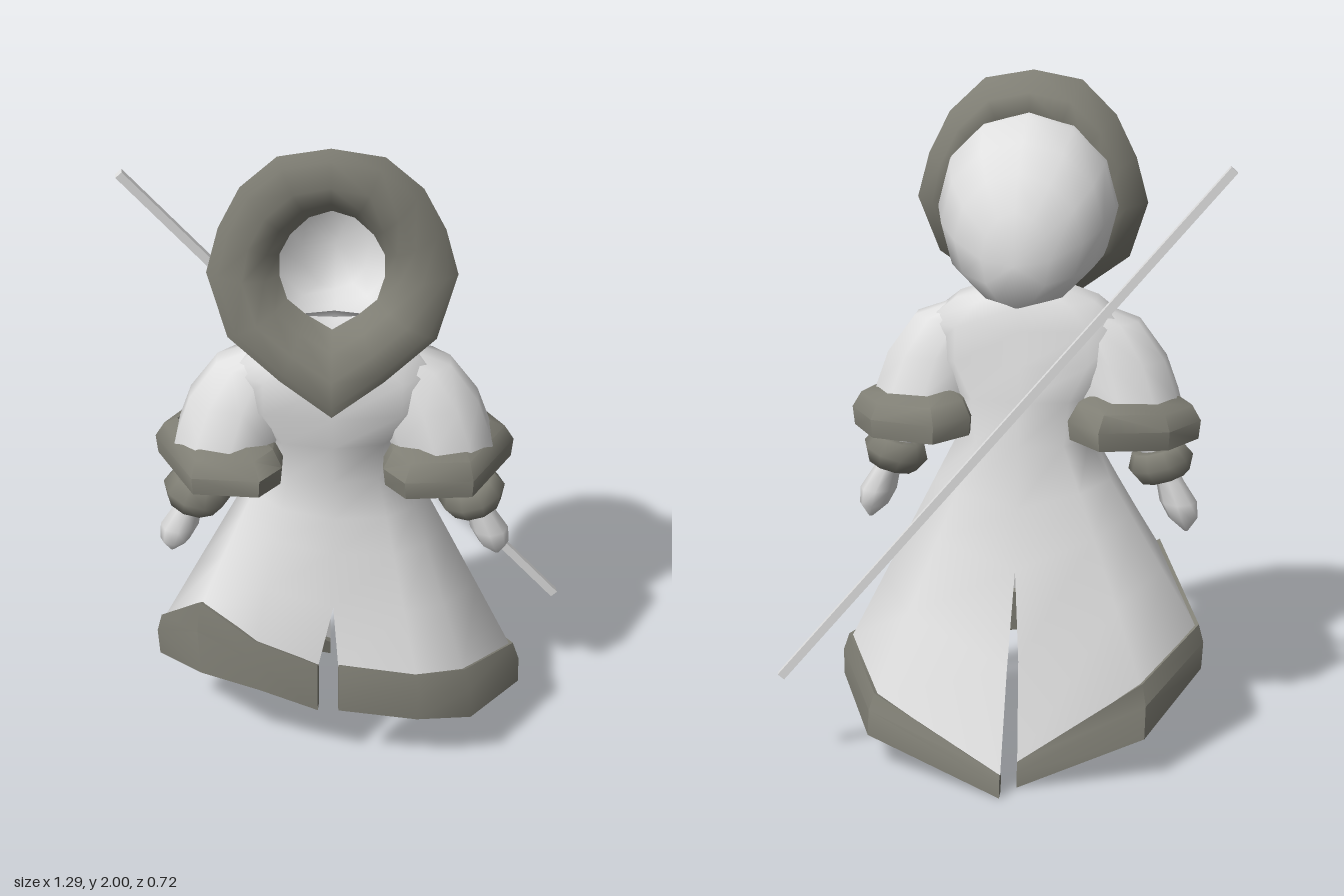
import * as THREE from 'three';
import { mergeGeometries, mergeVertices, toCreasedNormals } from 'three/addons/utils/BufferGeometryUtils.js';

const CX = -0.045; // the figure stands slightly off centre
const mat = (name, color) => new THREE.MeshStandardMaterial({ name, color, side: THREE.DoubleSide });

// Skin rows of [x, y, z] points; closed joins each row's ends, caps closes both ends.
function loft(rows, { closed = true, caps = false, crease = 0 } = {}) {
  const mean = r => r.map(() => [0, 1, 2].map(k => r.reduce((s, p) => s + p[k], 0) / r.length));
  if (caps) rows = [mean(rows[0]), ...rows, mean(rows[rows.length - 1])];
  const n = rows[0].length, index = [];
  for (let i = 0; i < rows.length - 1; i++) {
    for (let j = 0; j < (closed ? n : n - 1); j++) {
      const a = i * n + j, b = i * n + (j + 1) % n;
      index.push(a, b, a + n, b, b + n, a + n);
    }
  }
  let g = new THREE.BufferGeometry();
  g.setAttribute('position', new THREE.Float32BufferAttribute(rows.flat(2), 3));
  g.setIndex(index);
  g = mergeVertices(g, 1e-4);
  if (crease) return toCreasedNormals(g, crease);
  g.computeVertexNormals();
  return g;
}

// Horizontal ellipse of points; a power below 1 squares it off
function ring(x, y, z, rx, rz, n = 10, power = 1) {
  const bend = v => Math.sign(v) * Math.abs(v) ** power;
  return Array.from({ length: n }, (_, i) => {
    const a = i / n * Math.PI * 2;
    return [x + bend(Math.sin(a)) * rx, y, z + bend(Math.cos(a)) * rz];
  });
}

const lerp3 = (a, b, t) => a.map((v, k) => v + (b[k] - v) * t);
const shrink = (p, s, dy = 0) => [CX + (p[0] - CX) * s, p[1] + dy, p[2] * s];

// Hem corners from front centre round the side to back centre
const hems = {
  left: {
    top: [[-.03, .4, .31], [.2, .375, .32], [.34, .36, .27], [.49, .31, .07], [.36, .24, -.2], [-.03, .07, -.34]],
    bottom: [[-.03, .25, .33], [.2, .22, .33], [.36, .2, .29], [.51, .175, .08], [.38, .11, -.21], [-.03, .005, -.355]],
  },
  right: {
    top: [[-.09, .4, .31], [-.27, .49, .32], [-.43, .59, .27], [-.565, .4, .07], [-.42, .3, -.16], [-.07, .08, -.265]],
    bottom: [[-.09, .25, .33], [-.26, .33, .34], [-.43, .36, .3], [-.575, .26, .07], [-.43, .14, -.19], [-.07, .005, -.28]],
  },
};
const frontSeam = [CX, .39, .305], backSeam = [CX, .07, -.3]; // where both halves aim above the slits

export function createModel() {
  const model = new THREE.Group();
  const cloth = mat('pale cloth', 0xe0e0e0);
  const fur = mat('dark fur', 0x7f7e74);
  const add = (name, geo, material, parent = model) => {
    const m = new THREE.Mesh(geo, material);
    m.name = name;
    parent.add(m);
    return m;
  };

  // Upper robe from neck to waist: [y, half width, centre z, half depth]
  const torsoRows = [[1.4, .13, .11, .11], [1.37, .21, .115, .135], [1.3, .3, .115, .15], [1.2, .3, .11, .155],
    [1.1, .22, .09, .16], [.97, .2, .075, .145]].map(([y, rx, z, rz]) => ring(CX, y, z, rx, rz, 10, .85));
  const waistRing = torsoRows[5];

  // Robe halves, parted below by a slit at front and back, each with a fur hem
  const halves = Object.entries(hems).map(([side, { top, bottom }]) => {
    const sections = top.map((p, j) => {
      const b = bottom[j];
      return [p, shrink(lerp3(p, b, .4), 1.02), b, shrink(b, .93, .01), shrink(p, .93, -.01)];
    });
    add(side + 'HemFur', loft(sections, { caps: true, crease: .8 }), fur);

    const column = j => side === 'left' ? j : (10 - j) % 10;
    const upper = torsoRows.map(r => top.map((_, j) => r[column(j)]));
    const skirt = [.2, .39, .68, 1].map(t => top.map((p, j) => {
      let target = shrink(p, .985, -.01);
      if (j === 0 && t < .7) target = frontSeam;
      if (j === 5 && t < .4) target = backSeam;
      const start = waistRing[column(j)], q = lerp3(start, target, t);
      q[2] = start[2] + (target[2] - start[2]) * t ** 1.35;
      return q;
    }));
    const rows = [...upper, ...skirt];
    return loft(side === 'left' ? rows : rows.map(r => r.reverse()), { closed: false });
  });
  halves.forEach(g => g.deleteAttribute('normal'));
  const robe = mergeVertices(mergeGeometries(halves), 1e-4);
  robe.computeVertexNormals();
  add('robe', robe, cloth);

  // Hood shell: [z, centre y, half width, half height]
  const hood = [[.18, 1.64, .26, .255], [.1, 1.63, .255, .262], [0, 1.6, .23, .235],
    [-.08, 1.57, .18, .19], [-.14, 1.53, .095, .135], [-.172, 1.52, 0, 0]];
  add('hood', loft(hood.map(([z, y, rx, ry]) =>
    ring(0, 0, 0, rx, ry, 12).map(p => [CX + p[0], y + p[2], z]))), cloth);

  // Fur ring around the hood opening, leaning forward at the chin
  const outer = [[0, 2], [.14, 1.975], [.24, 1.88], [.3, 1.76], [.335, 1.63], [.28, 1.46], [.14, 1.35], [0, 1.26]];
  const inner = [[0, 1.81], [.06, 1.79], [.11, 1.74], [.14, 1.68], [.14, 1.62], [.12, 1.56], [.07, 1.52], [0, 1.48]];
  const lean = [[2, .23], [1.85, .205], [1.65, .2], [1.45, .255], [1.26, .335]];
  const leanZ = y => {
    const i = Math.max(1, lean.findIndex(l => l[0] <= y + 1e-6));
    const [y0, z0] = lean[i - 1], [y1, z1] = lean[i];
    return z0 + (z1 - z0) * (y0 - y) / (y0 - y1);
  };
  const section = [[0, .01], [.2, .05], [.5, .068], [.85, .04], [1, .015], [.72, -.065], [.4, -.07]];
  const furRow = (i, s) => section.map(([t, dz]) => {
    const x = inner[i][0] + (outer[i][0] - inner[i][0]) * t;
    const y = inner[i][1] + (outer[i][1] - inner[i][1]) * t;
    return [CX + s * x, y, leanZ(y) + dz];
  });
  const order = [0, 1, 2, 3, 4, 5, 6, 7];
  const furRows = [...order.map(i => furRow(i, 1)), ...order.slice(0, 7).reverse().map(i => furRow(i, -1))];
  add('hoodFur', loft(furRows, { crease: 1.2 }), fur);

  // Arms, mirrored about the body's own centre line
  for (const [side, s] of [['left', 1], ['right', -1]]) {
    const arm = new THREE.Group();
    arm.name = side + 'Arm';
    arm.position.x = CX;
    arm.scale.x = s;
    model.add(arm);

    // Wide sleeve: [x, y, z, half width, half depth]
    const sleeve = [[.1, 1.365, .115, .08, .05], [.2, 1.31, .115, .13, .095], [.25, 1.2, .115, .16, .125],
      [.28, 1.1, .115, .165, .15], [.31, 1.04, .11, .15, .16]];
    add(side + 'Sleeve', loft(sleeve.map(r => ring(...r))), cloth, arm);

    // Angular fur cuff: outline corners [x, z, lift], swept through [y, scale]
    const outline = [[.14, .27, .02], [.2, .33, .01], [.39, .3, 0], [.51, .07, 0], [.43, -.06, 0], [.235, -.135, .01], [.14, -.06, .02]];
    const profile = [[1.095, .65], [1.075, .86], [1.03, 1], [.975, .97], [.985, .78], [1.05, .62]];
    const cuff = profile.map(([y, k]) => outline.map(([x, z, lift]) =>
      [.32 + (x - .32) * k, y + lift, .1 + (z - .1) * k]));
    add(side + 'CuffFur', loft([...cuff, cuff[0]], { crease: .8 }), fur, arm);

    // Forearm and pointed hand
    const limb = [[.27, 1.15, .115, .06, .06], [.33, 1, .12, .06, .06], [.385, .9, .125, .045, .045],
      [.42, .83, .125, .04, .04], [.447, .765, .123, .055, .053], [.462, .715, .122, .043, .042], [.472, .675, .12, .006, .006]];
    add(side + 'ForearmAndHand', loft(limb.map(r => ring(...r, 8))), cloth, arm);

    // Fur wristband
    const band = add(side + 'WristFur', new THREE.TorusGeometry(.055, .047, 6, 10), fur, arm);
    band.geometry.rotateX(Math.PI / 2);
    band.geometry.scale(.96, 1.1, 1.02);
    band.position.set(.393, .885, .125);
    band.rotation.z = .28;
  }

  // Staff slung across the back
  const a = new THREE.Vector3(-.635, 1.785, -.062), b = new THREE.Vector3(.63, .29, -.225);
  const staff = add('staff', new THREE.BoxGeometry(.024, .024, a.distanceTo(b)), cloth);
  staff.position.copy(a).add(b).multiplyScalar(.5);
  staff.lookAt(b);

  return model;
}
